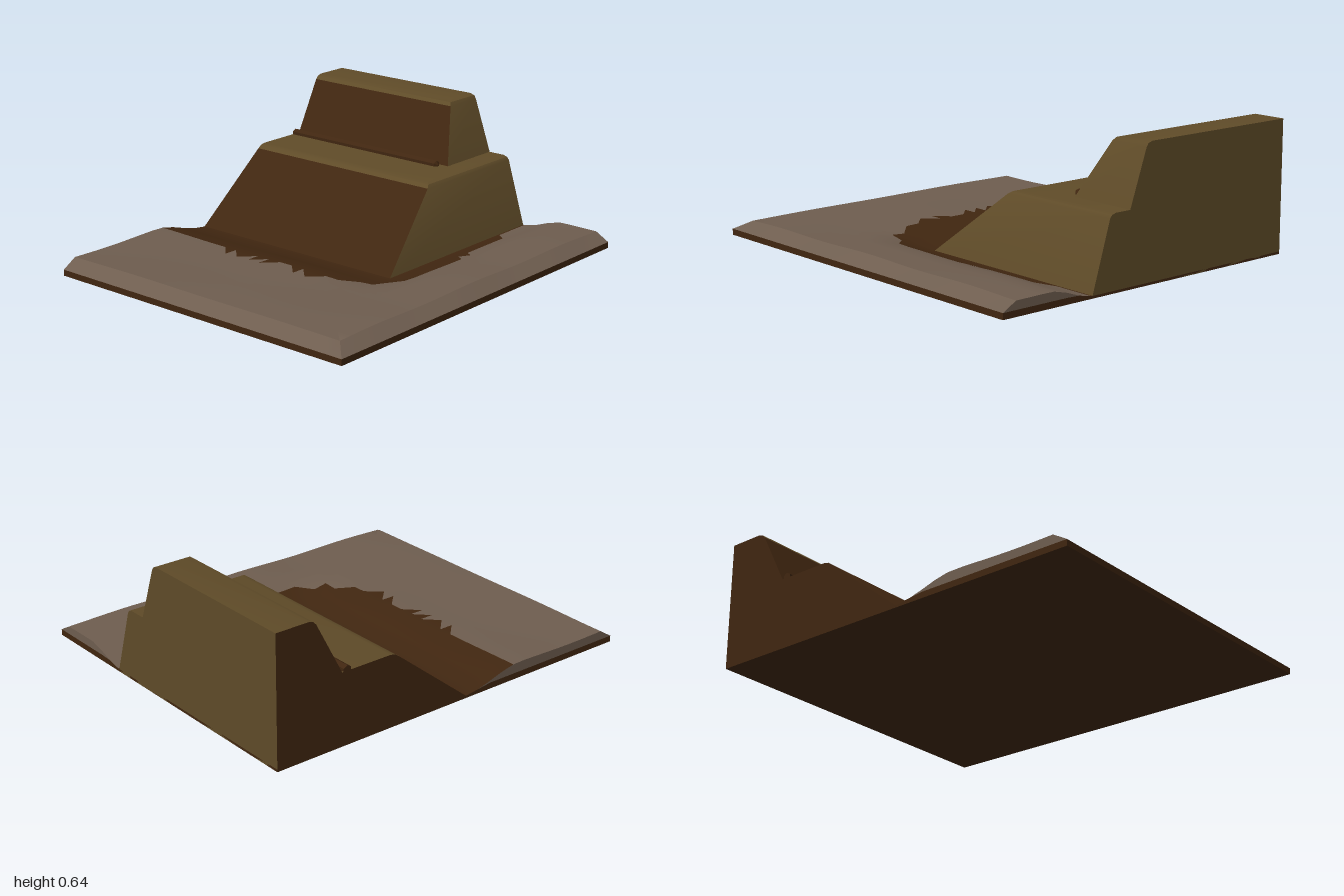
import * as THREE from 'three';
import { toCreasedNormals } from 'three/addons/utils/BufferGeometryUtils.js';

const X = 0.855, NX = 24, NZ = 28;

export function createModel() {
  const model = new THREE.Group();
  const material = (name, color) => {
    const m = new THREE.MeshStandardMaterial({ color });
    m.name = name;
    return m;
  };
  const soil = material('dark soil', 0x402610);
  const turf = material('olive earth', 0x5f4b28);
  const gravel = material('grey ground', 0x6e5d4f);

  // Collects triangles and quads (anticlockwise from outside) into one mesh
  const surface = (name, mat) => {
    const pos = [];
    const tri = (...corners) => corners.forEach((c) => pos.push(...c));
    const quad = (a, b, c, d) => { tri(a, b, c); tri(a, c, d); };
    const finish = () => {
      const g = new THREE.BufferGeometry();
      g.setAttribute('position', new THREE.Float32BufferAttribute(pos, 3));
      const mesh = new THREE.Mesh(toCreasedNormals(g, 0.5), mat);
      mesh.name = name;
      model.add(mesh);
    };
    return { tri, quad, finish };
  };

  // Rolling ground, sinking to a hollow at the foot of the mound
  const point = (i, j) => {
    const x = -X + (i * 2 * X) / NX, z = -1 + (j * 2) / NZ;
    if (i === NX || j === NZ) return [x, 0.03, z];
    const d = Math.hypot(Math.max(0, x - 0.345) / 0.25, Math.max(0, z - 0.065) / 0.33);
    const wave = 0.004 * Math.sin(7 * x + 1.5) * Math.cos(2 * z) + 0.003 * Math.sin(9 * z + 2 * x);
    return [x, 0.012 + (0.062 + wave) * THREE.MathUtils.smoothstep(d, 0, 1), z];
  };

  // Bare soil patch: full cells, or half cells along its ragged rim
  // L = lower left, R = upper right, U = upper left
  const rim = {
    '17,3': 'L', '18,8': 'L', '18,9': 'L', '18,16': 'U', '16,18': 'U',
    '6,19': 'R', '7,19': 'R', '8,19': 'U', '9,19': 'U', '10,19': 'U',
    '12,19': 'R', '13,19': 'R', '14,19': 'U',
  };
  const isSoil = (i, j) =>
    (j < 4 && i < 17) || (j >= 4 && j < 18 && i < 18) ||
    (j >= 10 && j < 16 && i === 18) || (j === 18 && i < 16);

  const ground = surface('ground', gravel);
  const patch = surface('soilPatch', soil);
  for (let i = 0; i < NX; i++) {
    for (let j = 0; j < NZ; j++) {
      const a = point(i, j), b = point(i, j + 1), c = point(i + 1, j + 1), d = point(i + 1, j);
      const half = rim[`${i},${j}`];
      if (half === 'U') {
        patch.tri(a, b, d);
        ground.tri(b, c, d);
      } else if (half) {
        (half === 'L' ? patch : ground).tri(a, b, c);
        (half === 'R' ? patch : ground).tri(a, c, d);
      } else (isSoil(i, j) ? patch : ground).quad(a, b, c, d);
    }
  }

  // Slab edge: soil strip below, grey ground layer above, and the underside
  const slab = surface('slab', soil);
  const wall = (p, q) => {
    const at = (v, y) => [v[0], y, v[2]];
    const py = Math.min(0.03, p[1]), qy = Math.min(0.03, q[1]);
    slab.quad(at(p, 0), at(q, 0), at(q, qy), at(p, py));
    if (p[1] > 0.03 || q[1] > 0.03) ground.quad(at(p, py), at(q, qy), q, p);
  };
  for (let i = 0; i < NX; i++) {
    wall(point(i, NZ), point(i + 1, NZ));
    wall(point(i + 1, 0), point(i, 0));
  }
  for (let j = 0; j < NZ; j++) {
    wall(point(0, j), point(0, j + 1));
    wall(point(NX, j + 1), point(NX, j));
  }
  slab.quad([-X, 0, -1], [X, 0, -1], [X, 0, 1], [-X, 0, 1]);
  [ground, patch, slab].forEach((s) => s.finish());

  // Mound tiers: each level is [height, right edge x, front edge z]
  const tier = (name, levels) => {
    const earth = surface(name + 'Earth', turf);
    const face = surface(name + 'SoilFaces', soil);
    for (let k = 0; k < levels.length - 1; k++) {
      const [y0, x0, z0] = levels[k], [y1, x1, z1] = levels[k + 1];
      // front slope is bare soil, its rounded crest is not
      (k === 0 ? face : earth).quad([-X, y0, z0], [x0, y0, z0], [x1, y1, z1], [-X, y1, z1]);
      earth.quad([x0, y0, z0], [x0, y0, -1], [x1, y1, -1], [x1, y1, z1]);
      // flat cut walls at the back and left
      earth.quad([x0, y0, -1], [-X, y0, -1], [-X, y1, -1], [x1, y1, -1]);
      face.quad([-X, y0, -1], [-X, y0, z0], [-X, y1, z1], [-X, y1, -1]);
    }
    const [y, x, z] = levels[levels.length - 1];
    earth.quad([-X, y, z], [x, y, z], [x, y, -1], [-X, y, -1]);
    earth.finish();
    face.finish();
  };
  tier('lowerTier', [
    [0, 0.353, 0.08], [0.335, 0.25, -0.338], [0.349, 0.238, -0.358], [0.355, 0.215, -0.385],
  ]);
  tier('upperTier', [
    [0.355, 0.13, -0.652], [0.618, 0.036, -0.79], [0.634, 0.025, -0.805], [0.641, 0.0, -0.83],
  ]);

  // Low kerb along the step, with a pointed end
  const kerb = new THREE.Group();
  kerb.name = 'kerb';
  const length = 0.08 + X;
  const bar = new THREE.Mesh(new THREE.CylinderGeometry(0.023, 0.023, length, 6), soil);
  bar.name = 'kerbBar';
  const tip = new THREE.Mesh(new THREE.ConeGeometry(0.023, 0.016, 6), soil);
  tip.name = 'kerbTip';
  tip.position.y = length / 2 + 0.008;
  kerb.add(bar, tip);
  for (const m of [bar, tip]) {
    m.geometry = toCreasedNormals(m.geometry, 0.5);
    m.geometry.rotateY(Math.PI / 6);
  }
  kerb.rotation.z = -Math.PI / 2;
  kerb.position.set((0.08 - X) / 2, 0.358, -0.624);
  model.add(kerb);

  return model;
}
